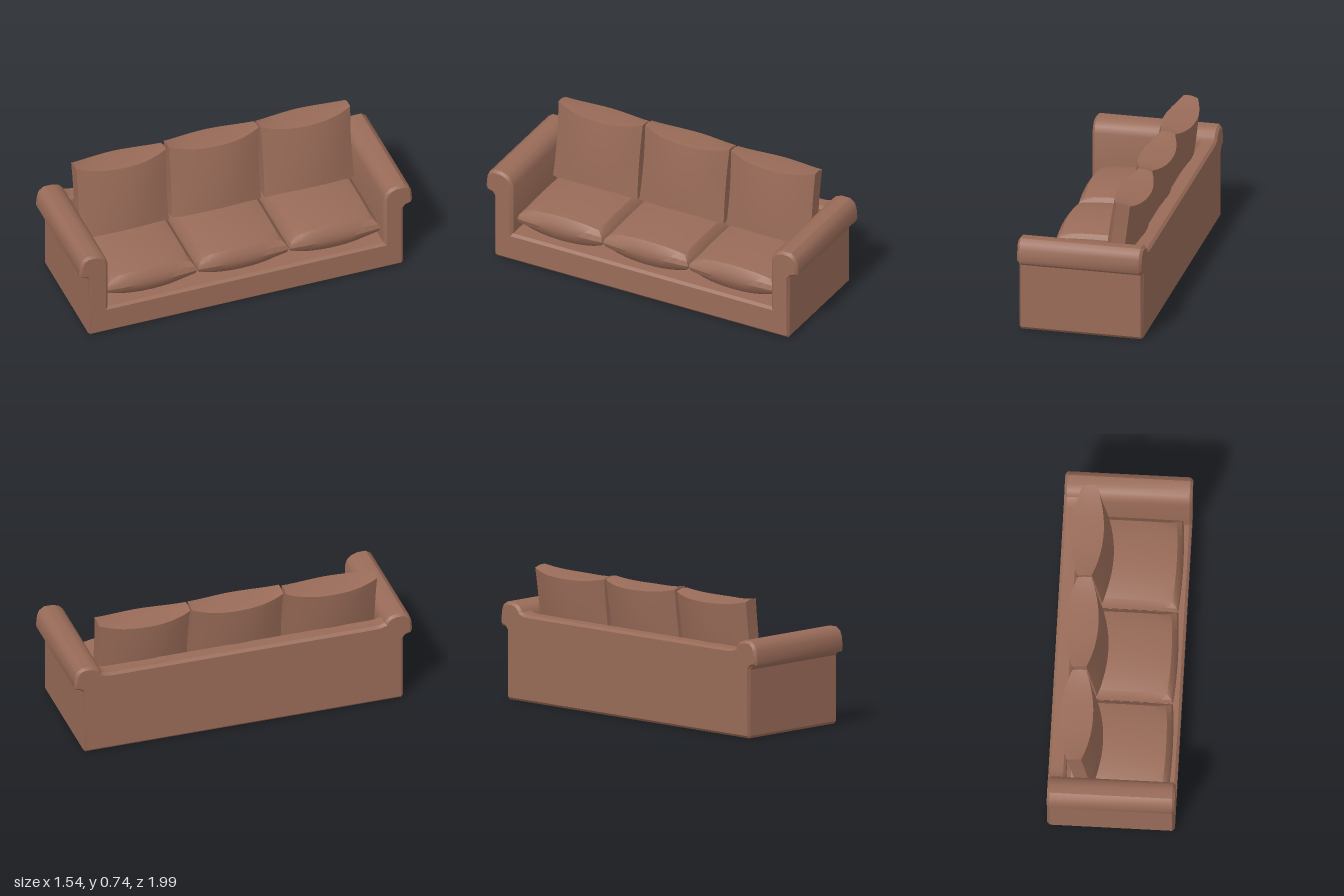
import * as THREE from 'three';
import { toCreasedNormals } from 'three/addons/utils/BufferGeometryUtils.js';

const fabric = new THREE.MeshStandardMaterial({ color: 0x996b58 });
fabric.name = 'brown fabric';

function addMesh(parent, name, geometry, crease = 0.6) {
  const mesh = new THREE.Mesh(toCreasedNormals(geometry, crease), fabric);
  mesh.name = name;
  parent.add(mesh);
  return mesh;
}

// Symmetric outline from its right half, extruded from zBack to zFront with chamfered ends
function mirroredExtrude(half, zBack, zFront, bevel) {
  const left = half.map(([x, y]) => [-x, y]).reverse();
  const shape = new THREE.Shape([...half, ...left].map(([x, y]) => new THREE.Vector2(x, y)));
  const geometry = new THREE.ExtrudeGeometry(shape, {
    depth: zFront - zBack - 2 * bevel, bevelEnabled: true, bevelSegments: 1,
    bevelSize: bevel, bevelThickness: bevel, bevelOffset: -bevel,
  });
  return geometry.translate(0, 0, zBack + bevel);
}

// Box whose vertices are moved by a rule given in -1..1 coordinates
function shapedBox(segments, rule) {
  const geometry = new THREE.BoxGeometry(2, 2, 2, ...segments);
  const p = geometry.attributes.position;
  for (let i = 0; i < p.count; i++) p.setXYZ(i, ...rule(p.getX(i), p.getY(i), p.getZ(i)));
  return geometry;
}

// Seat cushion: domed above and below, narrower at top and bottom than at mid height
function seatCushionGeometry() {
  return shapedBox([10, 4, 10], (u, v, w) => {
    const inset = 0.035 * v * v;
    const height = 0.048 + 0.026 * (1 - u * u) + 0.012 * (1 - w * w);
    return [
      u * (0.26 - inset * Math.abs(u)),
      v * height,
      w * (0.28 - inset * Math.abs(w)) + 0.012 * (1 - u * u) * Math.max(w, 0),
    ];
  });
}

// Back cushion: thick in the middle, thin at the sides, corners pulled up, leaning back
function backCushionGeometry() {
  return shapedBox([12, 8, 2], (u, v, w) => {
    const thick = 0.038 + 0.058 * (1 - u * u) * (1 - 0.12 * v * v);
    const lift = v > 0 ? 0.024 * Math.pow(Math.abs(u), 3) * v : 0;
    return [
      u * (0.258 - 0.006 * (1 - v * v)),
      v * 0.205 + lift - (v > 0 ? 0.012 * v * w * w * (w < 0 ? 1 : 0) : 0),
      w * thick - 0.028 * v,
    ];
  });
}

export function createModel() {
  const model = new THREE.Group();
  model.name = 'sofa';
  const sofa = new THREE.Group();
  sofa.name = 'sofaBody';
  sofa.rotation.y = Math.PI / 3;
  model.add(sofa);

  // Base and both rolled arms in one U-shaped outline
  const frame = [
    [0.893, 0], [0.905, 0.015], [0.905, 0.375], [0.918, 0.392], [0.948, 0.4],
    [0.956, 0.42], [0.95, 0.48], [0.938, 0.511], [0.91, 0.531], [0.86, 0.531],
    [0.825, 0.518], [0.803, 0.495], [0.792, 0.46], [0.792, 0.165],
  ];
  addMesh(sofa, 'baseAndArms', mirroredExtrude(frame, -0.344, 0.344, 0.014));

  // Backrest, curving up to meet the arms
  const back = [
    [0.86, 0.05], [0.86, 0.515], [0.83, 0.508], [0.805, 0.488], [0.775, 0.478], [0.74, 0.475],
  ];
  addMesh(sofa, 'backrest', mirroredExtrude(back, -0.344, -0.25, 0.014));

  // Three seat cushions and three back cushions
  const tilts = [0.012, 0.02, -0.008];
  [-1, 0, 1].forEach((side, i) => {
    const seat = addMesh(sofa, 'seatCushion', seatCushionGeometry(), 0.5);
    seat.position.set(side * 0.525, 0.243, 0.02);

    const pillow = addMesh(sofa, 'backCushion', backCushionGeometry(), 0.5);
    pillow.position.set(side * 0.53, 0.502 + (side === 0 ? 0.003 : 0), -0.177);
    pillow.rotation.z = -tilts[i] * 0.6;
  });

  return model;
}
